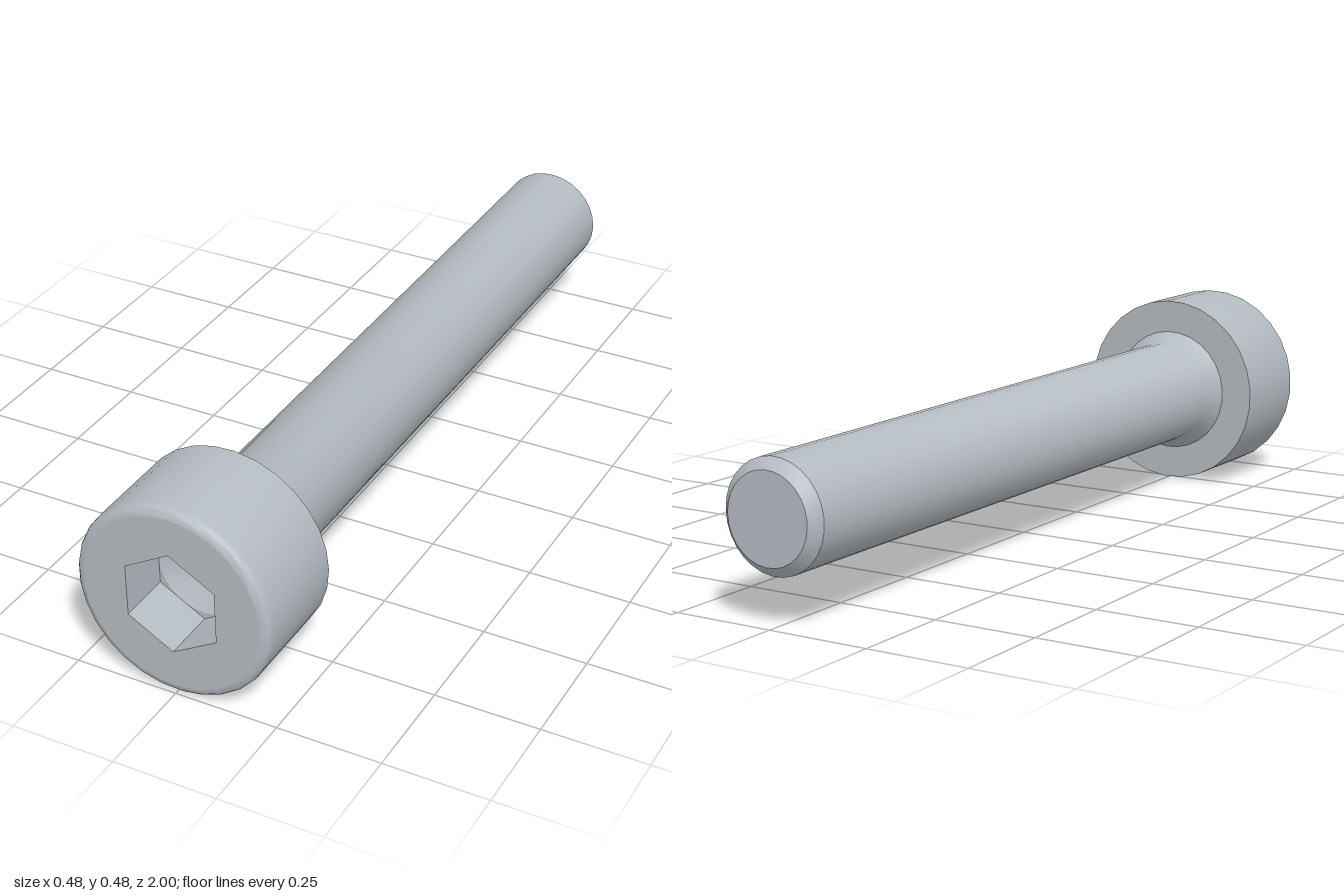
import * as THREE from 'three';
import { toCreasedNormals } from 'three/addons/utils/BufferGeometryUtils.js';

const SIDES = 29;
const R_HEAD = 0.2395, R_SHANK = 0.13, R_HEX = 0.126, R_DRILL = 0.109;
const ROUND = 0.023;            // rounding of the head's front edge
const Z_HEAD = 0.74, Z_FLOOR = 0.87;

const steel = new THREE.MeshStandardMaterial({ color: 0xb4bbc1 });
steel.name = 'steel';

// Turns a profile of [radius, z] pairs around the z axis
function turned(name, profile, sides = SIDES, start = Math.PI / 2) {
  const points = profile.map(([r, z]) => new THREE.Vector2(r, z));
  const lathe = new THREE.LatheGeometry(points, sides, start).rotateX(Math.PI / 2);
  const mesh = new THREE.Mesh(toCreasedNormals(lathe, 0.7), steel);
  mesh.name = name;
  return mesh;
}

// Regular polygon outline in the xy plane
function polygon(radius, sides, start = 0) {
  return Array.from({ length: sides }, (_, i) => {
    const a = start + (i / sides) * Math.PI * 2;
    return new THREE.Vector2(radius * Math.cos(a), radius * Math.sin(a));
  });
}

// Flat face at depth z with a hole in it
function flatFace(name, outline, hole, z) {
  const shape = new THREE.Shape(outline);
  shape.holes.push(new THREE.Path(hole));
  const mesh = new THREE.Mesh(new THREE.ShapeGeometry(shape).translate(0, 0, z), steel);
  mesh.name = name;
  return mesh;
}

export function createModel() {
  const screw = new THREE.Group();
  screw.name = 'socketHeadScrew';

  // Shank with chamfered tip and flared neck
  screw.add(turned('shank', [
    [0, -1], [R_SHANK - 0.025, -1], [R_SHANK, -0.975],
    [R_SHANK, 0.70], [0.157, Z_HEAD],
  ]));

  // Head: flat underside, straight side, rounded front edge
  const head = [[0.157, Z_HEAD], [R_HEAD, Z_HEAD]];
  for (let i = 0; i <= 5; i++) {
    const a = (i / 5) * Math.PI / 2;
    head.push([R_HEAD - ROUND + ROUND * Math.cos(a), 1 - ROUND + ROUND * Math.sin(a)]);
  }
  screw.add(turned('head', head));

  // Front face with hexagonal opening
  const hexagon = polygon(R_HEX, 6, Math.PI / 2);
  screw.add(flatFace('headFace', polygon(R_HEAD - ROUND, SIDES), hexagon, 1));

  // Socket: six inward walls, corner ledges and a drilled cone
  screw.add(turned('socketWalls', [[R_HEX, 1], [R_HEX, Z_FLOOR]], 6, 0));
  screw.add(flatFace('socketLedge', hexagon, polygon(R_DRILL, SIDES), Z_FLOOR));
  screw.add(turned('socketCone', [[R_DRILL, Z_FLOOR], [0, Z_FLOOR - 0.063]]));

  screw.position.y = R_HEAD;
  const model = new THREE.Group();
  model.name = 'screwModel';
  model.add(screw);
  return model;
}
